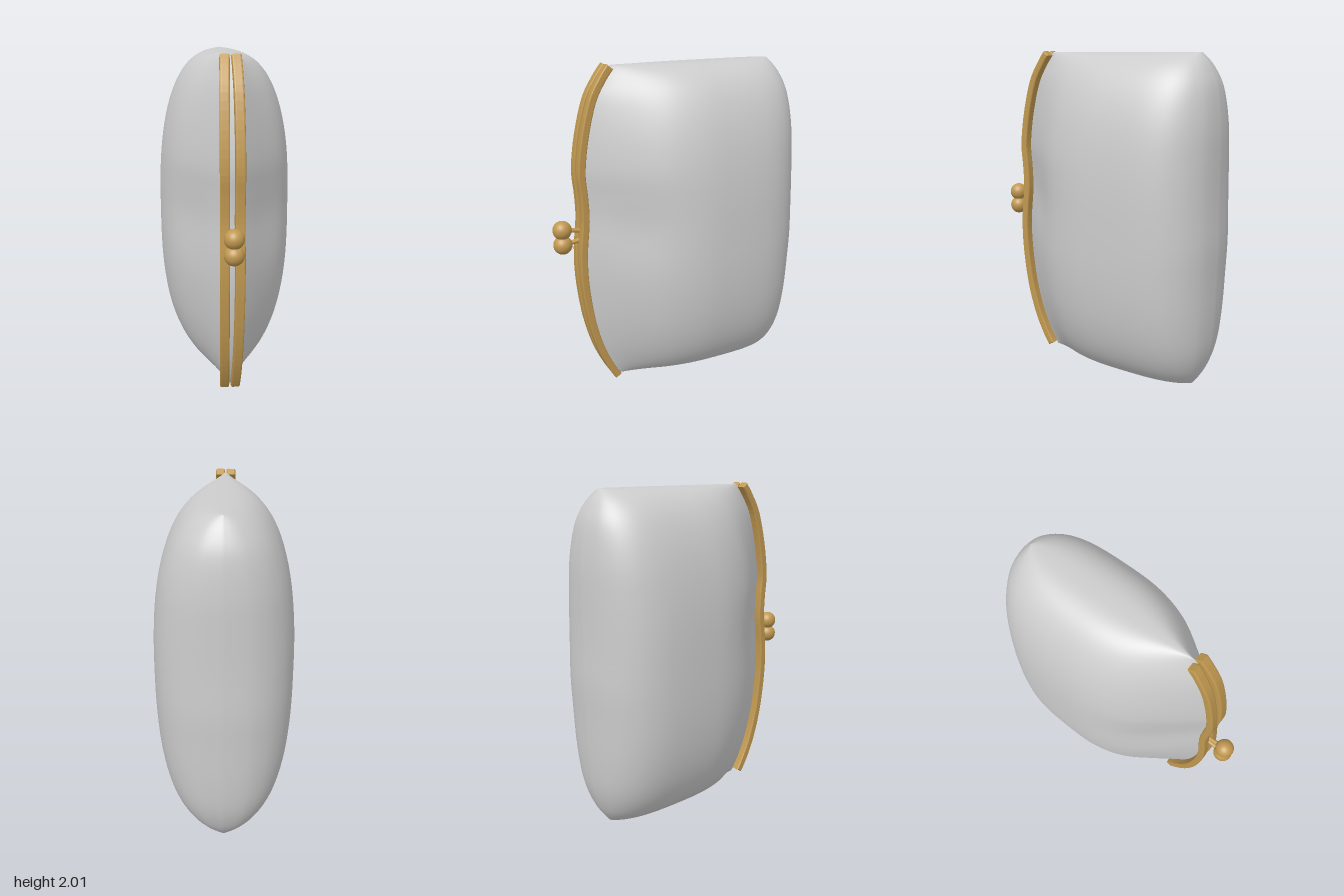
import * as THREE from 'three';

const V2 = (a) => a.map(([x, y]) => new THREE.Vector2(x, y));

// Clasp-side and back edges of the pouch, as [z, y]
const frontEdge = new THREE.SplineCurve(V2([
  [0.41, 0], [0.47, 0.1], [0.535, 0.25], [0.588, 0.45], [0.62, 0.7], [0.622, 0.9],
  [0.602, 1.1], [0.605, 1.25], [0.615, 1.4], [0.588, 1.6], [0.535, 1.8], [0.47, 1.92], [0.41, 2],
]));
const backEdge = new THREE.SplineCurve(V2([
  [-0.65, 0], [-0.715, 0.1], [-0.762, 0.25], [-0.782, 0.45], [-0.79, 0.7], [-0.796, 0.9],
  [-0.79, 1.1], [-0.787, 1.25], [-0.786, 1.4], [-0.782, 1.6], [-0.757, 1.8], [-0.708, 1.92], [-0.65, 2],
]));

// Half of the middle cross-section, as [z, half width], from clasp to back
const halfSection = new THREE.SplineCurve(V2([
  [0.61, 0.012], [0.55, 0.06], [0.4, 0.185], [0.2, 0.33], [0, 0.4], [-0.2, 0.414], [-0.45, 0.402],
  [-0.6, 0.36], [-0.7, 0.285], [-0.76, 0.19], [-0.785, 0.1], [-0.795, 0],
]));

// Puffy pouch lofted through cross-sections that pinch to a seam at both ends
function pouchGeometry() {
  const rows = 72, half = 44, ring = half * 2;
  const profile = halfSection.getPoints(half);
  const positions = [], indices = [];
  for (let i = 0; i <= rows; i++) {
    const t = (1 - Math.cos((Math.PI * i) / rows)) / 2;
    const f = frontEdge.getPoint(t), b = backEdge.getPoint(t);
    const y = f.y;
    const swell = Math.pow(Math.max(0, 1 - Math.pow(Math.abs(y - 1), 2.6)), 1 / 2.6);
    for (let j = 0; j < ring; j++) {
      const p = profile[j <= half ? j : ring - j];
      const z = THREE.MathUtils.lerp(f.x, b.x, (0.61 - p.x) / 1.405);
      const dent = 1 - 0.06 * Math.exp(-(((y - 1.02) / 0.18) ** 2) - ((z - 0.4) / 0.18) ** 2);
      positions.push((j <= half ? 1 : -1) * p.y * swell * dent, y, z);
      if (i < rows) {
        const a = i * ring + j, n = i * ring + ((j + 1) % ring);
        indices.push(a, n, a + ring, n, n + ring, a + ring);
      }
    }
  }
  const g = new THREE.BufferGeometry();
  g.setAttribute('position', new THREE.Float32BufferAttribute(positions, 3));
  g.setIndex(indices);
  g.computeVertexNormals();
  return g;
}

// Curved metal strip following the pouch mouth, leaning outward toward the middle
function stripGeometry(side) {
  const outer = [], inner = [], n = 48;
  for (let i = 0; i <= n; i++) {
    const t = 0.028 + (0.944 * i) / n;
    const p = frontEdge.getPoint(t), d = frontEdge.getTangent(t);
    outer.push(new THREE.Vector2(p.x + d.y * 0.026, p.y - d.x * 0.026));
    inner.push(new THREE.Vector2(p.x - d.y * 0.004, p.y + d.x * 0.004));
  }
  const g = new THREE.ExtrudeGeometry(new THREE.Shape([...outer, ...inner.reverse()]), {
    depth: 0.036, bevelSize: 0.008, bevelThickness: 0.01, bevelSegments: 3,
  });
  g.translate(0, 0, -0.018).rotateY(-Math.PI / 2);
  const pos = g.attributes.position;
  for (let i = 0; i < pos.count; i++) {
    const lean = 0.033 + 0.055 * Math.max(0, pos.getZ(i) - 0.45);
    pos.setX(i, pos.getX(i) + side * lean);
  }
  g.computeVertexNormals();
  return g;
}

export function createModel() {
  const fabric = new THREE.MeshStandardMaterial({ color: 0xcccccc });
  fabric.name = 'greyFabric';
  const brass = new THREE.MeshStandardMaterial({ color: 0xc09850 });
  brass.name = 'brass';

  const model = new THREE.Group();
  model.name = 'coinPurse';
  const add = (name, geometry, material) => {
    const mesh = new THREE.Mesh(geometry, material);
    mesh.name = name;
    model.add(mesh);
    return mesh;
  };

  add('pouch', pouchGeometry(), fabric);
  add('leftFrame', stripGeometry(1), brass);
  add('rightFrame', stripGeometry(-1), brass);

  // Kiss-lock beads on short slanted stems
  for (const [name, y, rootY] of [['upper', 1.053, 1.03], ['lower', 0.96, 0.98]]) {
    const bead = add(name + 'Bead', new THREE.SphereGeometry(0.057, 32, 20), brass);
    bead.position.set(0, y, 0.743);
    const stem = new THREE.LineCurve3(new THREE.Vector3(0, rootY, 0.6), new THREE.Vector3(0, y, 0.743));
    add(name + 'Stem', new THREE.TubeGeometry(stem, 1, 0.014, 12), brass);
  }
  return model;
}
